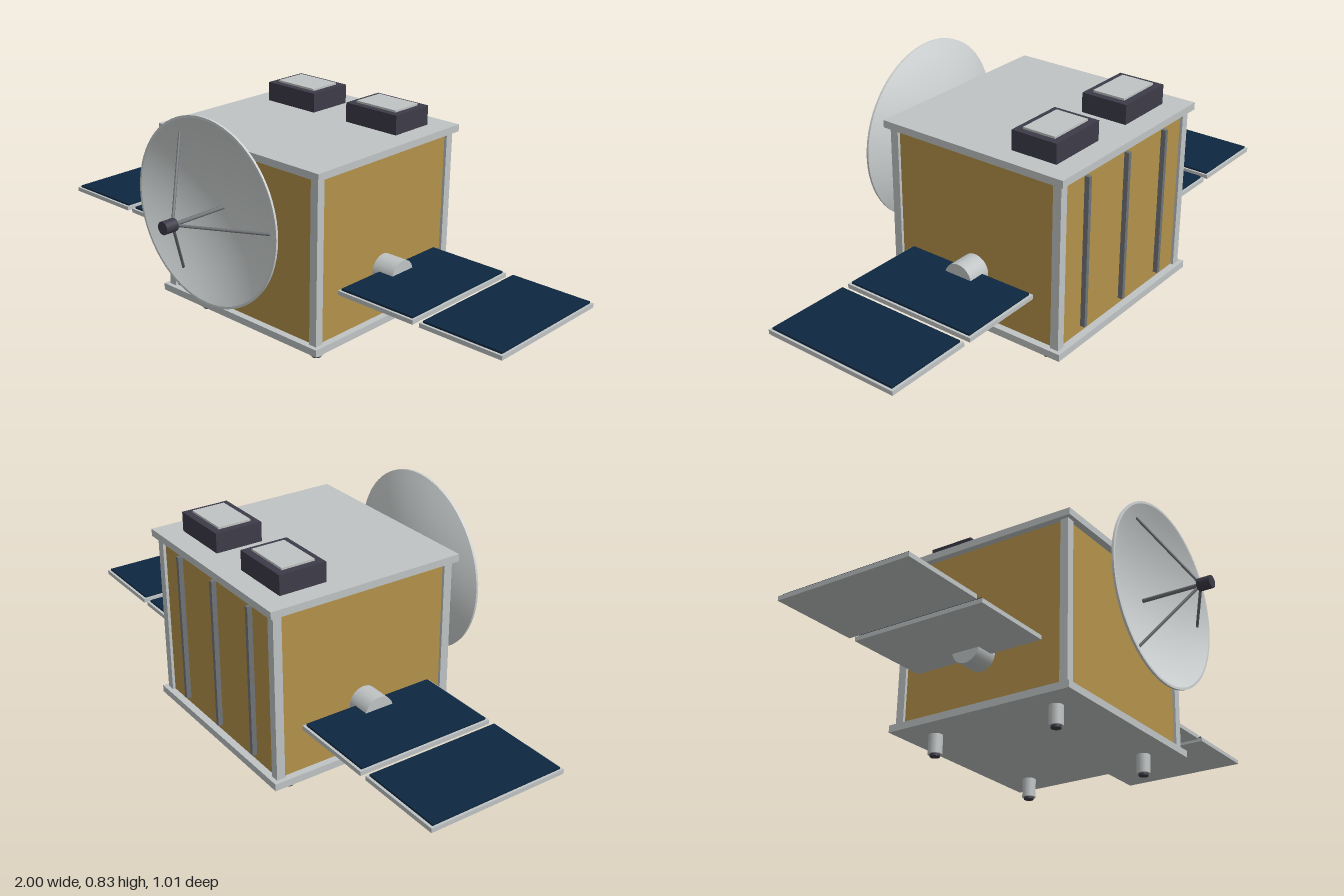
import * as THREE from 'three';

const mat = (name, color) => new THREE.MeshStandardMaterial({ name, color });

export function createModel() {
  const model = new THREE.Group();
  model.name = 'satellite';
  const frame = mat('frameGrey', 0xbfc3c3);
  const gold = mat('goldFoil', 0xb3914a);
  const cell = mat('solarBlue', 0x0e2840);
  const dark = mat('darkHousing', 0x3c3b48);
  const strut = mat('strutGrey', 0x707376);
  const dishMat = mat('dishGrey', 0xcdd1d1);
  const CZ = -0.153; // middle of the body in z

  const add = (name, geo, m, x = 0, y = 0, z = 0, parent = model) => {
    const mesh = new THREE.Mesh(geo, m);
    mesh.name = name;
    mesh.position.set(x, y, z);
    parent.add(mesh);
    return mesh;
  };
  const box = (name, w, h, d, m, x, y, z) => add(name, new THREE.BoxGeometry(w, h, d), m, x, y, z);

  // Body between two deck plates, with corner posts
  box('body', 0.69, 0.58, 0.654, gold, 0, 0.3875, CZ);
  box('bottomDeck', 0.74, 0.025, 0.705, frame, 0, 0.0875, CZ);
  box('topDeck', 0.74, 0.025, 0.705, frame, 0, 0.6875, CZ);
  for (const sx of [-1, 1]) for (const sz of [-1, 1]) {
    box('cornerPost', 0.03, 0.575, 0.03, frame, sx * 0.34, 0.3875, CZ + sz * 0.322);
    // Feet with dark pads
    const fx = sx * 0.267, fz = CZ + sz * 0.238;
    add('foot', new THREE.CylinderGeometry(0.024, 0.024, 0.068, 24), frame, fx, 0.042, fz);
    add('footPad', new THREE.CylinderGeometry(0.017, 0.017, 0.01, 24), dark, fx, 0.005, fz);
  }

  // Vertical strips on the back
  for (const x of [-0.215, 0, 0.215]) box('backStrip', 0.014, 0.53, 0.02, strut, x, 0.387, -0.487);

  for (const s of [-1, 1]) {
    // Instrument boxes on the roof
    box('instrumentBox', 0.22, 0.068, 0.168, dark, s * 0.185, 0.734, -0.343);
    box('instrumentCover', 0.17, 0.007, 0.118, frame, s * 0.185, 0.7715, -0.343);

    // Solar wings on side hubs
    const hub = new THREE.CylinderGeometry(0.053, 0.053, 0.1, 32);
    hub.rotateZ(Math.PI / 2);
    add('wingHub', hub, frame, s * 0.38, 0.27, CZ);
    for (const x of [0.5175, 0.8475]) {
      box('wingPanel', 0.305, 0.015, 0.493, frame, s * x, 0.2675, CZ);
      box('solarCells', 0.289, 0.007, 0.475, cell, s * x, 0.2785, CZ);
    }
  }

  // Dish: outer bowl, rim and inner bowl, turned about z
  const dish = new THREE.Group();
  dish.name = 'dish';
  dish.position.set(0, 0.507, 0.24);
  model.add(dish);
  const R = 0.322, N = 20;
  const lathe = (name, pts) => {
    const geo = new THREE.LatheGeometry(pts.map(p => new THREE.Vector2(p[0], p[1])), 64);
    geo.rotateX(Math.PI / 2);
    add(name, geo, dishMat, 0, 0, 0, dish);
  };
  const outer = [], inner = [];
  for (let i = 0; i <= N; i++) {
    const t = i / N;
    outer.push([R * t, 0.084 * t * t]);
    inner.unshift([(R - 0.008) * t, 0.01 + 0.082 * t * t]);
  }
  lathe('dishBack', outer);
  lathe('dishRim', [[R, 0.084], [R, 0.092]]);
  lathe('dishLip', [[R, 0.092], [R - 0.008, 0.092]]);
  lathe('dishFront', inner);

  // Feed horn, centre rod and three struts
  const rod = (name, a, b, r) => {
    const dir = b.clone().sub(a);
    const mesh = add(name, new THREE.CylinderGeometry(r, r, dir.length(), 12), strut, 0, 0, 0, dish);
    mesh.position.copy(a).add(b).multiplyScalar(0.5);
    mesh.quaternion.setFromUnitVectors(new THREE.Vector3(0, 1, 0), dir.normalize());
  };
  const feed = new THREE.CylinderGeometry(0.022, 0.022, 0.048, 24);
  feed.rotateX(Math.PI / 2);
  add('feedHorn', feed, dark, 0, 0, 0.245, dish);
  rod('feedRod', new THREE.Vector3(0, 0, 0.005), new THREE.Vector3(0, 0, 0.23), 0.007);
  for (let i = 0; i < 3; i++) {
    const a = i * Math.PI * 2 / 3;
    const at = (r, z) => new THREE.Vector3(r * Math.cos(a), r * Math.sin(a), z);
    rod('feedStrut', at(0.275, 0.068), at(0.006, 0.225), 0.005);
  }
  return model;
}
